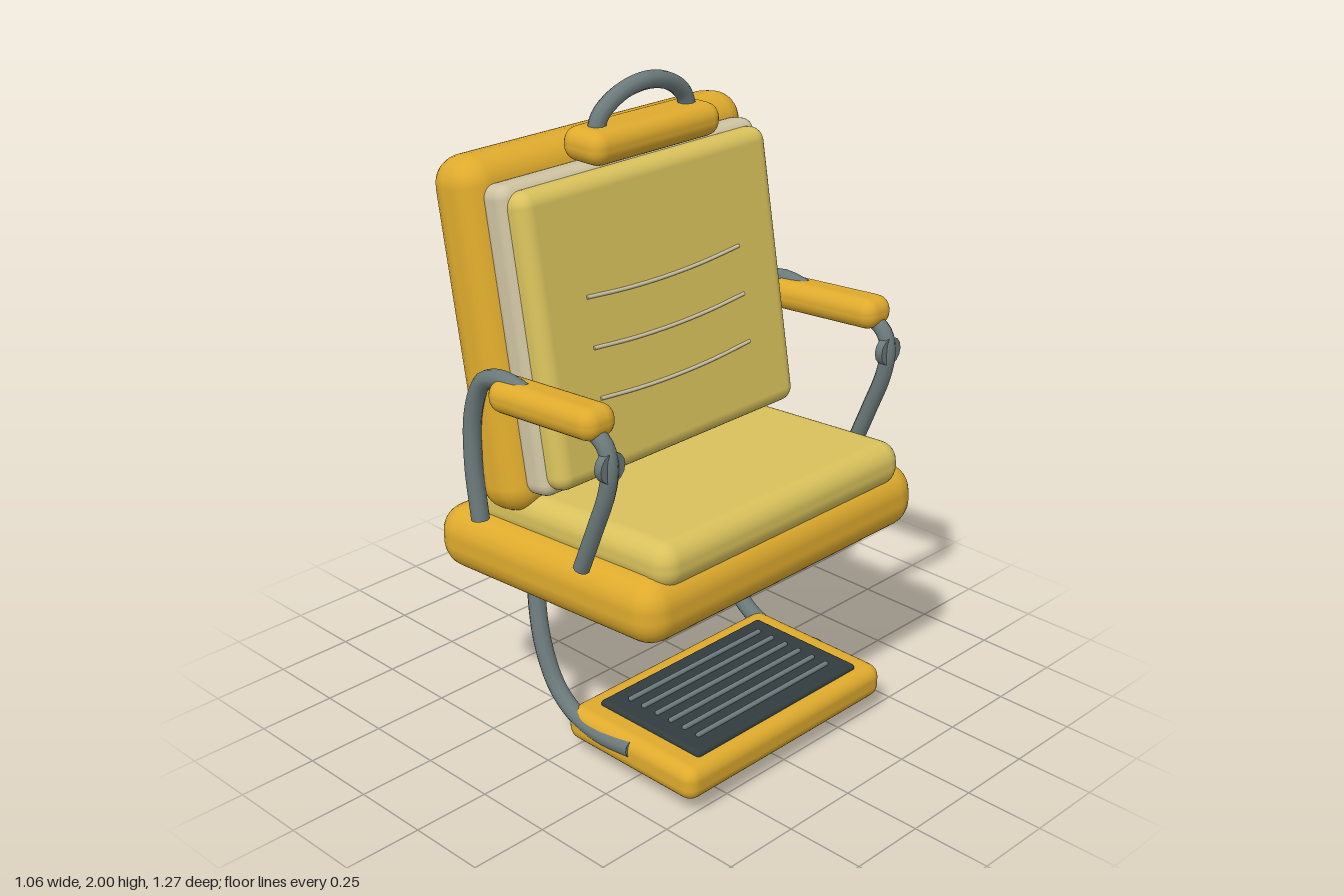
import * as THREE from 'three';
import { RoundedBoxGeometry } from 'three/addons/geometries/RoundedBoxGeometry.js';

const mat = (name, color) => {
  const m = new THREE.MeshStandardMaterial({ color });
  m.name = name;
  return m;
};

export function createModel() {
  const amber = mat('amber', 0xdfab2d);
  const gold = mat('pale gold', 0xd9c25c);
  const cream = mat('cream', 0xcfc4a2);
  const steel = mat('steel grey', 0x6c7a7b);
  const dark = mat('dark rubber', 0x323d40);

  const model = new THREE.Group();
  model.name = 'chair';

  // Rounded block: size, centre and tilt about z in degrees
  function block(parent, name, material, [w, h, d], [x, y, z], radius, tilt = 0) {
    const mesh = new THREE.Mesh(new RoundedBoxGeometry(w, h, d, 3, radius), material);
    mesh.name = name;
    mesh.position.set(x, y, z);
    mesh.rotation.z = THREE.MathUtils.degToRad(tilt);
    parent.add(mesh);
    return mesh;
  }

  // Bent rod through points, with flat ends
  function rod(parent, name, material, points, radius, steps = 28) {
    const curve = new THREE.CatmullRomCurve3(points.map(p => new THREE.Vector3(...p)));
    const group = new THREE.Group();
    group.name = name;
    group.add(new THREE.Mesh(new THREE.TubeGeometry(curve, steps, radius, 10), material));
    for (const t of [0, 1]) {
      const cap = new THREE.Mesh(new THREE.CircleGeometry(radius, 10), material);
      const dir = curve.getTangent(t).multiplyScalar(t ? 1 : -1);
      cap.position.copy(curve.getPoint(t));
      cap.quaternion.setFromUnitVectors(new THREE.Vector3(0, 0, 1), dir);
      group.add(cap);
    }
    group.children.forEach(c => { c.name = name; });
    parent.add(group);
  }

  // Seat
  block(model, 'seatBase', amber, [0.92, 0.2, 1.16], [0.057, 0.668, 0], 0.085, 3.5);
  block(model, 'seatCushion', gold, [0.84, 0.14, 1.02], [0.085, 0.794, 0], 0.062, 3.5);

  // Reclined back, built upright in its own frame
  const back = new THREE.Group();
  back.name = 'backrest';
  back.position.set(-0.215, 1.303, 0);
  back.rotation.z = THREE.MathUtils.degToRad(10);
  model.add(back);
  block(back, 'backShell', amber, [0.2, 1.04, 1.12], [0, 0, 0], 0.085);
  block(back, 'backPanel', cream, [0.11, 0.9, 1.02], [0.122, -0.01, 0], 0.04);
  block(back, 'backCushion', gold, [0.1, 0.86, 0.99], [0.182, -0.012, 0], 0.045);

  // Sagging seams across the back cushion
  for (const y of [0.075, -0.072, -0.22]) {
    const points = [-0.31, -0.155, 0, 0.155, 0.31].map(z =>
      [0.232, y - 0.016 * (1 - (z / 0.31) ** 2) + 0.012, z]);
    rod(back, 'seam', cream, points, 0.006, 16);
  }

  // Headrest with carrying handle
  block(model, 'headrest', amber, [0.16, 0.1, 0.51], [-0.09, 1.827, 0], 0.045);
  rod(model, 'handle', steel, [
    [-0.093, 1.85, 0.185], [-0.09, 1.905, 0.165], [-0.084, 1.955, 0.095],
    [-0.08, 1.974, 0], [-0.084, 1.955, -0.095], [-0.09, 1.905, -0.165], [-0.093, 1.85, -0.185],
  ], 0.026, 36);

  // Storage pack and lower housing behind the seat
  block(model, 'rearPack', amber, [0.38, 0.59, 0.67], [-0.34, 0.915, 0], 0.09);
  block(model, 'lowerHousing', steel, [0.4, 0.23, 0.49], [-0.33, 0.572, 0], 0.055);

  // Footrest with ribbed tread and foot pad
  block(model, 'footrest', amber, [0.525, 0.11, 0.86], [0.263, 0.105, 0], 0.042);
  block(model, 'tread', dark, [0.41, 0.04, 0.7], [0.275, 0.155, 0], 0.012);
  for (let i = 0; i < 6; i++) {
    block(model, 'treadRib', steel, [0.016, 0.014, 0.58], [0.135 + i * 0.056, 0.178, 0], 0.006);
  }
  block(model, 'footPad', dark, [0.215, 0.07, 0.51], [0.257, 0.035, 0], 0.018);

  // Paired arms and legs
  for (const s of [1, -1]) {
    const side = s > 0 ? 'left' : 'right';
    const z = 0.58 * s;
    rod(model, side + 'Leg', steel, [
      [-0.185, 0.6, 0.365 * s], [-0.168, 0.48, 0.382 * s], [-0.125, 0.32, 0.4 * s],
      [-0.06, 0.19, 0.403 * s], [0.03, 0.127, 0.405 * s], [0.14, 0.112, 0.41 * s],
      [0.27, 0.122, 0.41 * s],
    ], 0.028);
    block(model, side + 'ArmPad', amber, [0.425, 0.096, 0.122], [0.133, 1.218, 0.575 * s], 0.044, 4);
    rod(model, side + 'RearArmTube', steel, [
      [-0.175, 0.775, z], [-0.196, 0.95, z], [-0.187, 1.11, z],
      [-0.14, 1.215, z], [-0.06, 1.245, z], [0.04, 1.235, z],
    ], 0.027);
    rod(model, side + 'FrontArmTube', steel, [
      [0.25, 0.775, z], [0.305, 0.91, z], [0.355, 1.04, z],
      [0.367, 1.12, z], [0.35, 1.175, z], [0.29, 1.215, z],
    ], 0.025);

    // Round joint on the front arm tube
    const joint = new THREE.Mesh(new THREE.CylinderGeometry(0.045, 0.045, 0.026, 14), steel);
    joint.name = side + 'ArmJoint';
    joint.rotation.z = Math.PI / 2;
    joint.position.set(0.367, 1.12, z);
    model.add(joint);
  }

  return model;
}
